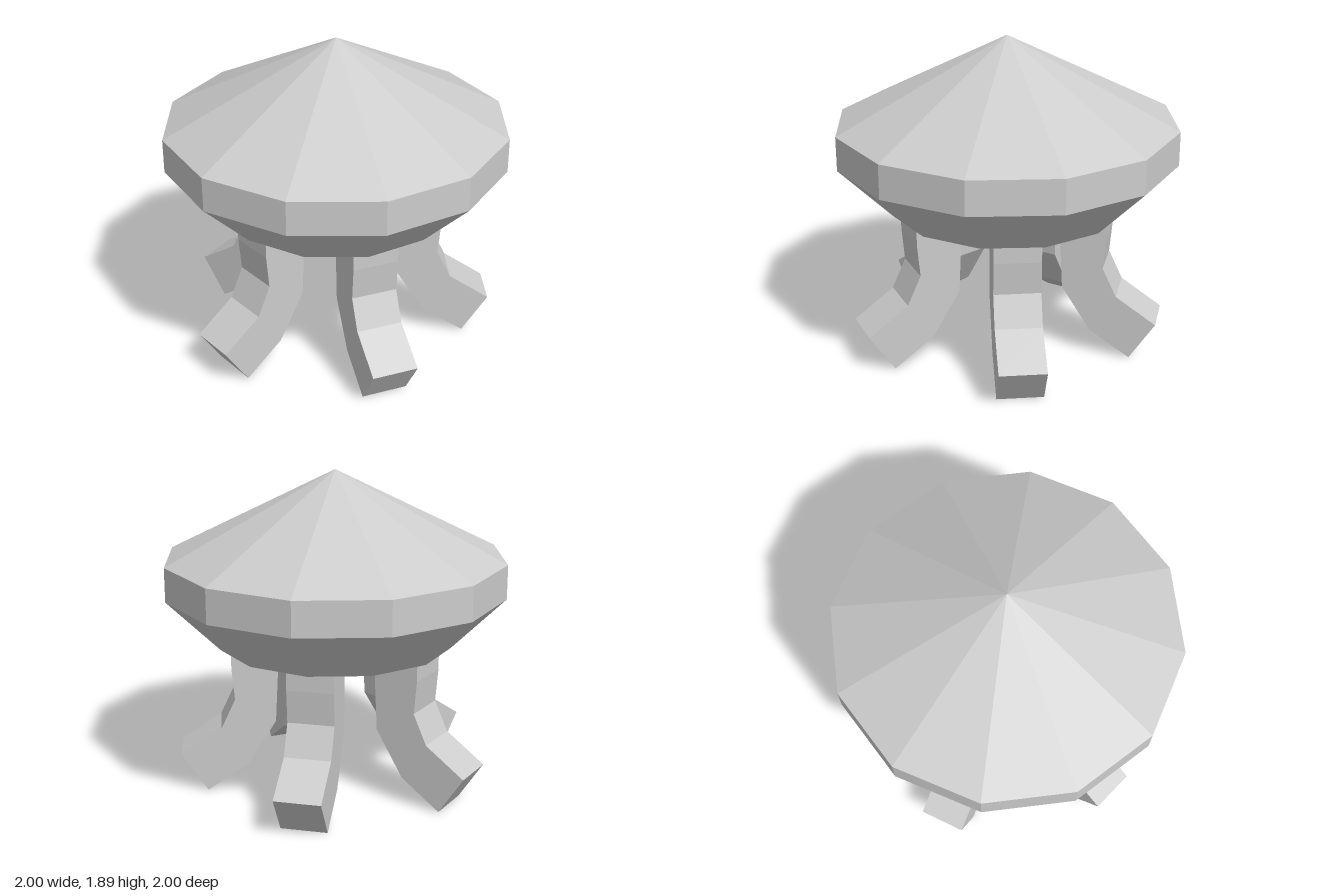
import * as THREE from 'three';

export function createModel() {
  const group = new THREE.Group();
  const grey = new THREE.MeshStandardMaterial({ color: 0xcccccc, flatShading: true });
  grey.name = 'light grey';

  // Twelve-sided cap: flat underside, flared belly, upright rim, pointed roof
  const capProfile = [[0, 0.875], [0.69, 0.875], [1, 1.185], [1, 1.385], [0, 1.892]]
    .map(([r, y]) => new THREE.Vector2(r, y));
  const cap = new THREE.Mesh(new THREE.LatheGeometry(capProfile, 12), grey);
  cap.name = 'cap';
  group.add(cap);

  // Leg side outline (distance from centre, height), bending outwards to the foot
  const legOutline = [
    [0.345, 0.88], [0.345, 0.76], [0.362, 0.425], [0.53, 0.16], [0.77, 0],
    [0.92, 0.23], [0.682, 0.39], [0.6, 0.565], [0.617, 0.76], [0.617, 0.88],
  ].map(([r, y]) => new THREE.Vector2(r, y));
  const legWidth = 0.27;
  const legGeometry = new THREE.ExtrudeGeometry(new THREE.Shape(legOutline), {
    depth: legWidth, bevelEnabled: false,
  });
  legGeometry.translate(0, 0, -legWidth / 2);

  // Five legs evenly spaced, the first pointing straight back
  for (let i = 0; i < 5; i++) {
    const leg = new THREE.Mesh(legGeometry, grey);
    leg.name = `leg${i + 1}`;
    leg.rotation.y = Math.PI / 2 + (i * Math.PI * 2) / 5;
    group.add(leg);
  }

  return group;
}
